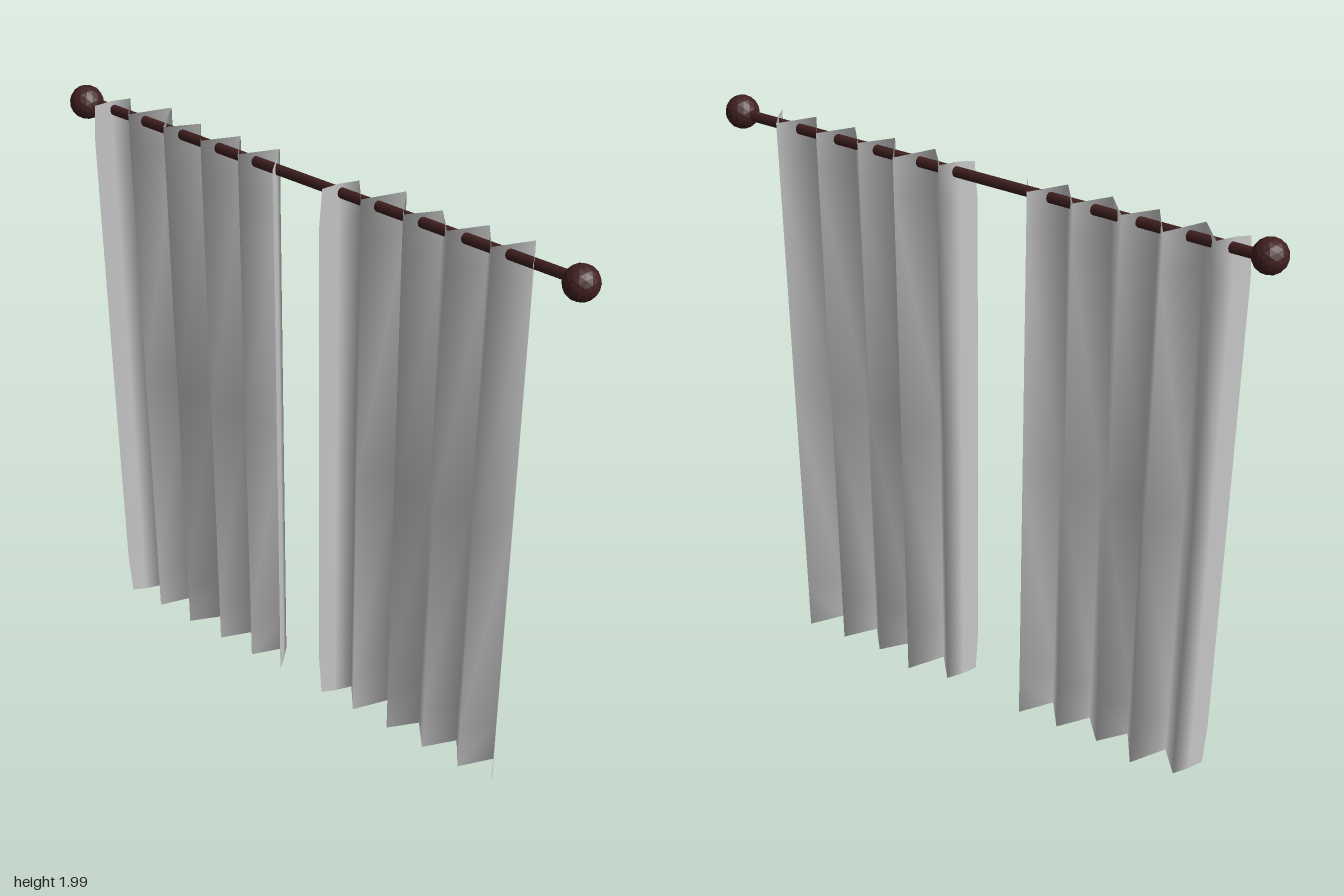
import * as THREE from 'three';

const wood = new THREE.MeshStandardMaterial({ color: 0x40201f });
const ballWood = new THREE.MeshStandardMaterial({ color: 0x40201f, flatShading: true });
const cloth = new THREE.MeshStandardMaterial({ color: 0xcccccc, side: THREE.DoubleSide });

// Zigzag fold line of one panel, seen from above: [x, z]
const FOLDS = [
  [0, 0.058], [0.033, 0.01], [0.067, -0.042], [0.14, 0.046], [0.212, -0.072], [0.284, 0.046],
  [0.357, -0.042], [0.432, 0.046], [0.506, -0.052], [0.577, 0.046], [0.652, -0.058],
  [0.685, -0.002], [0.717, 0.055],
];

// Heights of the rows, with how far each is drawn in at the side edges
const ROWS = [[0.006, 0.007], [0.17, 0.001], [1, 0], [1.85, 0], [1.978, 0.006]];

function curtainGeometry() {
  const positions = [], index = [];
  const n = FOLDS.length, last = n - 1;
  ROWS.forEach(([y, inset], r) => {
    FOLDS.forEach(([x, z], c) => {
      const edge = c === 0 ? 1 : c === last ? -1 : 0;
      // The outer corners are slightly rounded off
      const trim = edge ? (r === 0 ? 0.008 : r === ROWS.length - 1 ? -0.008 : 0) : 0;
      positions.push(x + edge * inset, y + trim, z - Math.abs(edge) * inset);
      if (r < ROWS.length - 1 && c < last) {
        const a = r * n + c;
        index.push(a, a + 1, a + n + 1, a, a + n + 1, a + n);
      }
    });
  });
  const g = new THREE.BufferGeometry();
  g.setAttribute('position', new THREE.Float32BufferAttribute(positions, 3));
  g.setIndex(index);
  g.computeVertexNormals();
  return g;
}

export function createModel() {
  const model = new THREE.Group();
  model.name = 'curtains';

  const add = (name, geometry, material, x, y, z) => {
    const mesh = new THREE.Mesh(geometry, material);
    mesh.name = name;
    mesh.position.set(x, y, z);
    model.add(mesh);
    return mesh;
  };

  // Rod, a little flattened front to back
  const rodGeometry = new THREE.CylinderGeometry(0.018, 0.018, 1.8, 12);
  rodGeometry.rotateZ(Math.PI / 2).scale(1, 1, 0.6);
  add('rod', rodGeometry, wood, 0, 1.947, 0.002);

  // Ball at each end of the rod
  const ball = new THREE.IcosahedronGeometry(0.053, 2);
  add('leftFinial', ball, ballWood, 0.9, 1.947, 0.012);
  add('rightFinial', ball, ballWood, -0.9, 1.947, 0.012);

  // Two identical pleated panels, threaded by the rod
  const panel = curtainGeometry();
  add('rightCurtain', panel, cloth, -0.83, 0, 0);
  add('leftCurtain', panel, cloth, 0.06, 0, 0);

  return model;
}
